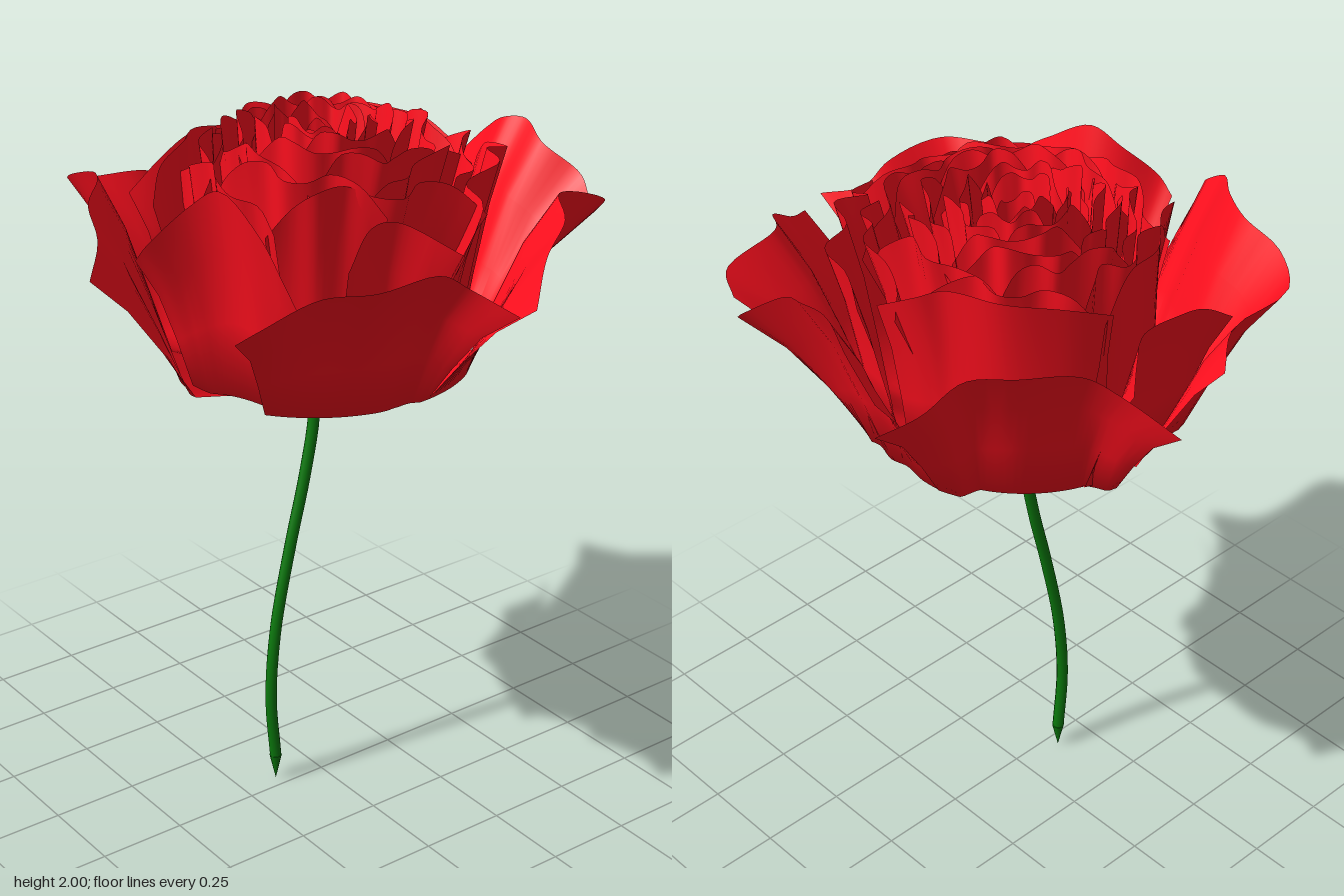
import * as THREE from 'three';

const CX = -0.03; // flower axis in x
const BASE = 1.225; // height of the flower base

const red = new THREE.MeshStandardMaterial({ color: 0xff0f1e, side: THREE.DoubleSide });
const green = new THREE.MeshStandardMaterial({ color: 0x0a780c });

// A petal: a sheet lofted from the flower base, over a hip, to a wavy rim.
// rim is a list of [x, z, y] points along the upper edge; hip gives the hip radius for a rim radius.
function petal(name, rim, hip, hipY, spread) {
  const curve = new THREE.CatmullRomCurve3(rim.map(([x, z, y]) => new THREE.Vector3(x - CX, y, z)));
  const mid = curve.getPoint(0.5);
  const midA = Math.atan2(mid.z, mid.x);
  const cols = 32;
  const rows = 6;
  const pos = [];
  const index = [];
  for (let i = 0; i <= cols; i++) {
    const p = curve.getPoint(i / cols);
    const R = Math.hypot(p.x, p.z);
    const d = Math.atan2(p.z, p.x) - midA;
    const off = Math.atan2(Math.sin(d), Math.cos(d));
    const h = p.y - hipY;
    const hipR = hip(R);
    const profile = [ // radius, height, angular spread
      [0.02, BASE, spread],
      [Math.min(0.09, hipR * 0.5), BASE, spread],
      [hipR, hipY, spread],
      [hipR + (R - hipR) * 0.3, hipY + h * 0.37, 1 + (spread - 1) * 0.4],
      [hipR + (R - hipR) * 0.62, hipY + h * 0.72, 1],
      [R, p.y, 1],
    ];
    for (const [r, y, s] of profile) {
      const a = midA + off * s;
      pos.push(CX + r * Math.cos(a), y, r * Math.sin(a));
    }
  }
  for (let i = 0; i < cols; i++) {
    for (let j = 0; j < rows - 1; j++) {
      const a = i * rows + j;
      const b = a + rows;
      index.push(a, a + 1, b, b, a + 1, b + 1);
    }
  }
  const g = new THREE.BufferGeometry();
  g.setAttribute('position', new THREE.Float32BufferAttribute(pos, 3));
  g.setIndex(index);
  g.computeVertexNormals();
  const m = new THREE.Mesh(g, red);
  m.name = name;
  return m;
}

// Rims of the large outer petals
const outerRims = {
  backPetal: [[-0.2, -0.65, 1.72], [-0.1, -0.65, 1.81], [0, -0.63, 1.87], [0.07, -0.645, 1.88],
    [0.17, -0.62, 1.84], [0.27, -0.67, 1.77], [0.33, -0.65, 1.72]],
  backLeftPetal: [[0.41, -0.6, 1.72], [0.46, -0.58, 1.77], [0.46, -0.42, 1.82], [0.57, -0.34, 1.79],
    [0.61, -0.25, 1.73], [0.72, -0.12, 1.65]],
  frontLeftPetal: [[0.75, -0.04, 1.66], [0.63, 0.02, 1.71], [0.62, 0.1, 1.76], [0.62, 0.3, 1.76],
    [0.53, 0.4, 1.74], [0.5, 0.55, 1.69], [0.46, 0.6, 1.65]],
  frontRightPetal: [[0.01, 0.72, 1.7], [-0.06, 0.65, 1.77], [-0.15, 0.62, 1.83], [-0.25, 0.53, 1.85],
    [-0.35, 0.48, 1.84], [-0.47, 0.48, 1.8], [-0.56, 0.42, 1.75], [-0.57, 0.2, 1.73], [-0.64, 0.1, 1.68]],
  backRightPetal: [[-0.76, -0.18, 1.68], [-0.6, -0.22, 1.74], [-0.53, -0.28, 1.79], [-0.45, -0.42, 1.81],
    [-0.35, -0.5, 1.79], [-0.33, -0.62, 1.74], [-0.28, -0.72, 1.7]],
};

// Rims of the middle petals, standing inside the outer ones
const middleRims = {
  frontMiddlePetal: [[0, 0.58, 1.72], [0.04, 0.57, 1.77], [0.1, 0.48, 1.87], [0.17, 0.44, 1.92],
    [0.31, 0.42, 1.84], [0.42, 0.43, 1.76], [0.48, 0.43, 1.7]],
  rightMiddlePetal: [[-0.5, 0.28, 1.7], [-0.51, 0.16, 1.78], [-0.53, 0.05, 1.82], [-0.53, -0.08, 1.82],
    [-0.57, -0.14, 1.79], [-0.62, -0.2, 1.74]],
  backLeftMiddlePetal: [[0.05, -0.49, 1.8], [0.12, -0.46, 1.86], [0.23, -0.44, 1.88], [0.25, -0.35, 1.9],
    [0.36, -0.3, 1.9], [0.37, -0.18, 1.87], [0.45, -0.17, 1.84], [0.57, 0, 1.76]],
  leftMiddlePetal: [[0.55, -0.03, 1.76], [0.43, 0.09, 1.84], [0.43, 0.17, 1.84], [0.47, 0.27, 1.76]],
  backRightMiddlePetal: [[0.01, -0.46, 1.82], [-0.1, -0.43, 1.88], [-0.15, -0.38, 1.9], [-0.29, -0.32, 1.9],
    [-0.37, -0.2, 1.87], [-0.42, -0.07, 1.82]],
  frontRightMiddlePetal: [[-0.42, -0.1, 1.8], [-0.36, 0.05, 1.87], [-0.36, 0.14, 1.89], [-0.25, 0.27, 1.9],
    [-0.2, 0.37, 1.87], [-0.13, 0.44, 1.8]],
};

// Bud whorls: petal count, rim radius, peak height, start angle
const whorls = [
  [5, 0.37, 1.9, 0.3],
  [5, 0.32, 1.93, 0.9],
  [5, 0.27, 1.95, 0.1],
  [4, 0.225, 1.97, 0.7],
  [4, 0.18, 1.98, 0.2],
  [4, 0.135, 1.98, 0.9],
  [3, 0.09, 1.98, 1.1],
  [2, 0.05, 1.94, 0.5],
];

function whorlRim(n, R, top, start, k) {
  const half = (Math.PI / n) * 1.08;
  const center = start + (k * 2 * Math.PI) / n;
  const rim = [];
  for (let i = 0; i <= 8; i++) {
    const t = i / 4 - 1; // -1..1 across the petal
    const a = center + t * half;
    const wave = Math.sin(i * 2.1 + k * 1.7 + R * 20);
    const lean = 1 + 0.12 * Math.cos(a); // the bud sits a little towards the left
    const r = R * lean * (0.98 + 0.06 * wave + 0.14 * t ** 4 - 0.04 * t);
    const y = top - 0.1 * t ** 4 + 0.02 * Math.sin(i * 1.4 + k * 2.3);
    rim.push([CX + r * Math.cos(a), r * Math.sin(a) - 0.015, Math.min(y, 2)]);
  }
  return rim;
}

export function createModel() {
  const model = new THREE.Group();
  model.name = 'flower';

  const outer = new THREE.Group();
  outer.name = 'outerPetals';
  for (const [name, rim] of Object.entries(outerRims)) {
    outer.add(petal(name, rim, (R) => THREE.MathUtils.clamp(R * 0.64, 0.385, 0.43), 1.316, 1.12));
  }

  const middle = new THREE.Group();
  middle.name = 'middlePetals';
  for (const [name, rim] of Object.entries(middleRims)) {
    middle.add(petal(name, rim, (R) => THREE.MathUtils.clamp(R * 0.78, 0.34, 0.4), 1.325, 1.12));
  }

  const bud = new THREE.Group();
  bud.name = 'budPetals';
  whorls.forEach(([n, R, top, start], w) => {
    for (let k = 0; k < n; k++) {
      bud.add(petal(`budPetal${w + 1}_${k + 1}`, whorlRim(n, R, top, start, k), () => R * 0.8, 1.33 + w * 0.01, 1));
    }
  });
  model.add(outer, middle, bud);

  // Curved stem with a pointed foot
  const path = new THREE.CatmullRomCurve3(
    [[1.24, 0], [1.13, -0.003], [0.95, 0.03], [0.75, 0.08], [0.5, 0.133], [0.28, 0.152], [0.08, 0.138]]
      .map(([y, z]) => new THREE.Vector3(-0.037, y, z)));
  const stem = new THREE.Mesh(new THREE.TubeGeometry(path, 32, 0.017, 10), green);
  stem.name = 'stem';
  const foot = new THREE.Mesh(new THREE.ConeGeometry(0.018, 0.08, 10), green);
  foot.name = 'stemFoot';
  foot.rotation.x = Math.PI;
  foot.position.set(-0.037, 0.04, 0.138);
  model.add(stem, foot);

  return model;
}
